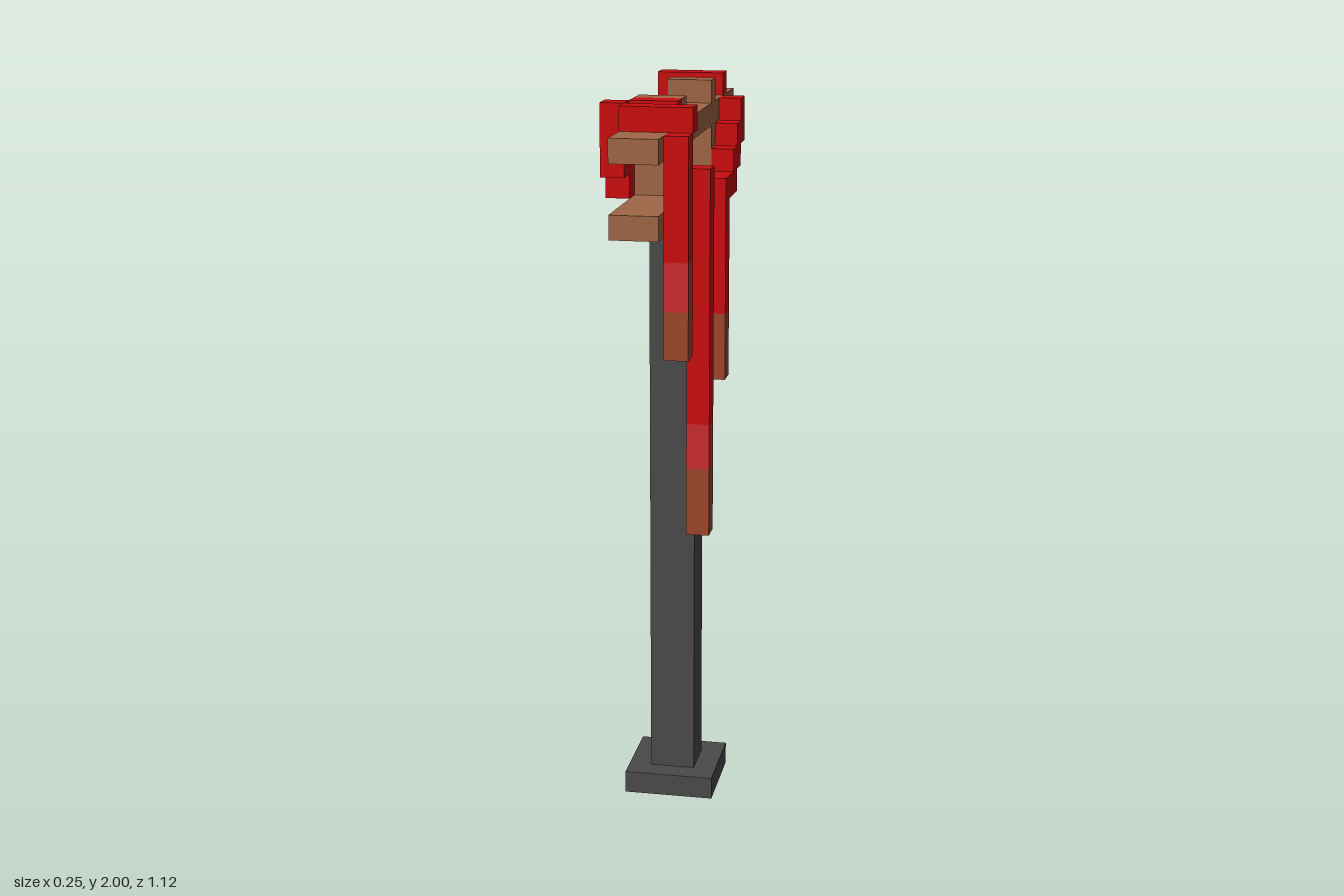
import * as THREE from 'three';

const U = 1 / 16; // block unit

export function createModel() {
  const model = new THREE.Group();
  model.name = 'signalPost';

  const mat = (name, color) => {
    const m = new THREE.MeshStandardMaterial({ color });
    m.name = name;
    return m;
  };
  const stone = mat('darkStone', 0x4a4a4a);
  const wood = mat('wood', 0xa06646);
  const red = mat('redCloth', 0xca0d0f);
  const fadedRed = mat('fadedRedCloth', 0xc92c31);
  const hem = mat('brownHem', 0x9c482d);

  // Box from min/max ranges given in block units
  const block = (name, material, [x0, x1], [y0, y1], [z0, z1], parent = model) => {
    const mesh = new THREE.Mesh(
      new THREE.BoxGeometry((x1 - x0) * U, (y1 - y0) * U, (z1 - z0) * U), material);
    mesh.position.set((x0 + x1) / 2 * U, (y0 + y1) / 2 * U, (z0 + z1) / 2 * U);
    mesh.name = name;
    parent.add(mesh);
  };

  // Post and foot
  block('foot', stone, [-2, 2], [0, 1], [-2, 2]);
  block('post', stone, [-1, 1], [1, 27], [-1, 1]);

  // Two cross beams joined by uprights
  block('lowerBeam', wood, [-1, 1], [27, 28], [-9, 9]);
  block('upperBeam', wood, [-1, 1], [30, 31], [-9, 9]);
  for (const z of [-4, 3]) {
    block('upright', wood, [-1, 1], [28, 30], [z, z + 1]);
    block('uprightCap', wood, [-1, 1], [31, 32], [z, z + 1]);
  }

  // Hanging cloth strand: red, faded band, brown hem
  const strand = (name, x, z, top, fadeTop, hemTop, bottom) => {
    const g = new THREE.Group();
    g.name = name;
    block('strandRed', red, [x, x + 1], [fadeTop, top], [z, z + 1], g);
    if (fadeTop > hemTop) block('strandFade', fadedRed, [x, x + 1], [hemTop, fadeTop], [z, z + 1], g);
    block('strandHem', hem, [x, x + 1], [bottom, hemTop], [z, z + 1], g);
    model.add(g);
  };
  strand('frontStrand', 1, 7, 31, 26, 24, 22);
  strand('longStrand', 1, 2, 29, 18, 16, 13);
  strand('shortStrand', 1, -2, 28, 22, 22, 19);
  strand('backStrand', -2, -7, 32, 23, 20, 18);

  // Cloth folded over the beams
  block('frontFold', red, [-1, 2], [31, 32], [6, 7]);
  block('innerFold', red, [-1, 1], [31, 32], [4, 5]);
  block('lowerFold', red, [-1, 1], [28, 29], [2, 3]);
  block('backFold', red, [-1, 1], [31, 32], [-7, -6]);

  // Stepped drapes along the sides: [y range, z range]
  const drape = (name, x, steps) =>
    steps.forEach(([y, z]) => block(name, red, [x, x + 1], y, z));
  drape('rightDrape', -2, [
    [[29, 32], [5, 6]], [[28, 30], [4, 5]], [[28, 29], [2, 4]],
  ]);
  drape('leftDrape', 1, [
    [[29, 31], [-6, -5]], [[28, 30], [-5, -4]], [[27, 29], [-4, -3]], [[27, 28], [-3, -2]],
  ]);

  return model;
}
